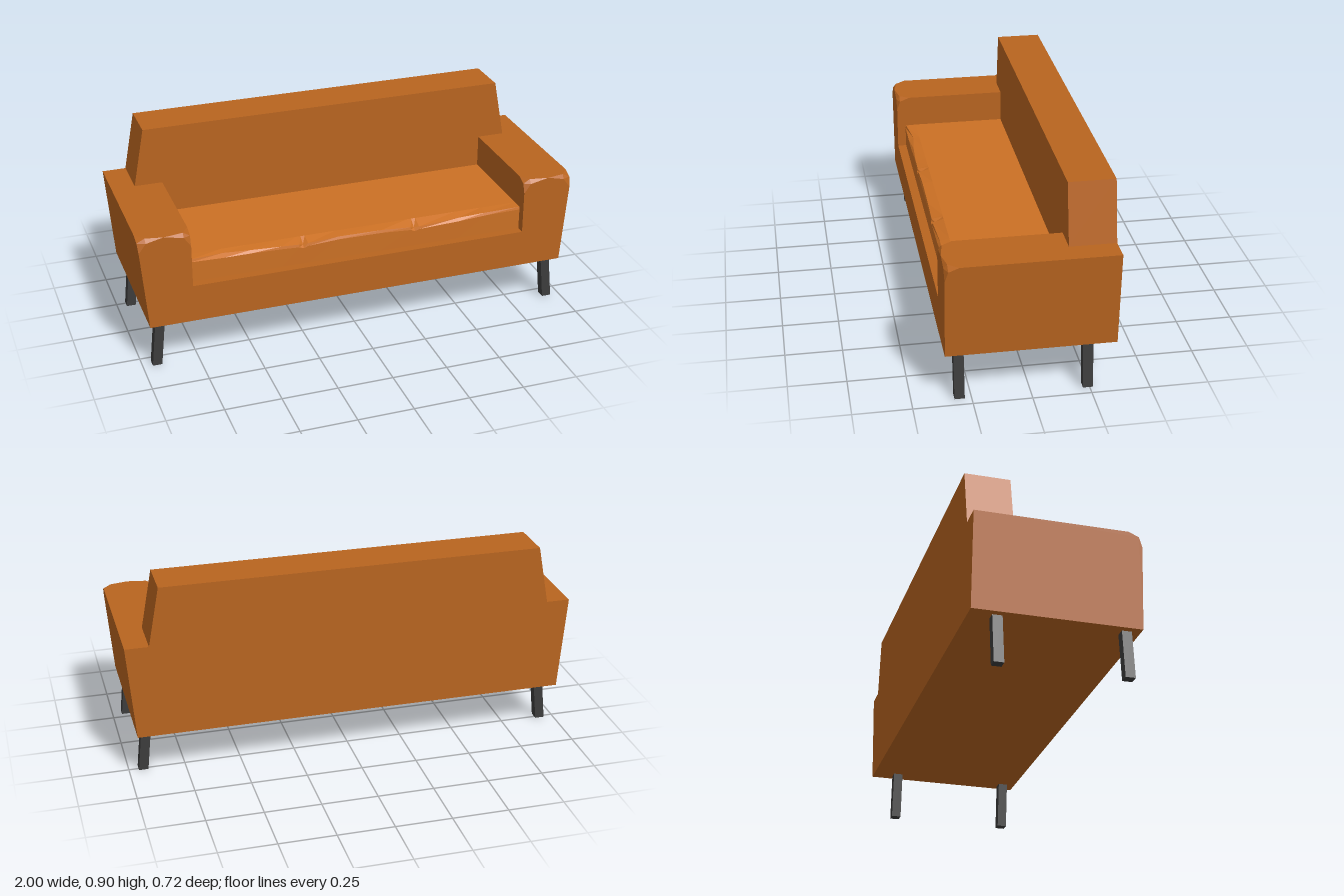
import * as THREE from 'three';
import { ConvexGeometry } from 'three/addons/geometries/ConvexGeometry.js';

const V = (x, y, z) => new THREE.Vector3(x, y, z);
const BOTTOM = 0.215, SEAT = 0.385, ARM_TOP = 0.64, INNER = 0.77;
const FRONT = 0.36, BACK = -0.36, BACK_FRONT = -0.16;

// The outer arm faces lean outwards as they rise
const outerX = (y) => 0.965 + 0.035 * (y - BOTTOM) / (ARM_TOP - BOTTOM);

// Arm block with both upper front corners faceted
function armGeometry(side) {
  const points = [];
  const middle = 0.885;
  for (const edge of [outerX, () => INNER]) {
    const inward = edge === outerX ? -0.036 : 0.03;
    points.push(
      V(edge(BOTTOM), BOTTOM, FRONT), V(edge(BOTTOM), BOTTOM, BACK), V(edge(ARM_TOP), ARM_TOP, BACK),
      V(edge(0.578), 0.578, FRONT), V(edge(0.622), 0.622, 0.345), V(edge(ARM_TOP), ARM_TOP, 0.3),
      V(edge(0.622) + inward, 0.622, FRONT), V(edge(ARM_TOP) + inward, ARM_TOP, 0.345)
    );
  }
  points.push(V(middle, ARM_TOP, FRONT));
  points.forEach((p) => { p.x *= side; });
  return new ConvexGeometry(points);
}

// Backrest outline: narrow between the arms, overlapping their tops, tapering upwards
function backGeometry() {
  const half = [[INNER, SEAT], [INNER, ARM_TOP], [0.895, ARM_TOP], [0.845, 0.905]];
  const outline = [...half, ...half.map(([x, y]) => [-x, y]).reverse()];
  const shape = new THREE.Shape(outline.map(([x, y]) => new THREE.Vector2(x, y)));
  const geometry = new THREE.ExtrudeGeometry(shape, { depth: BACK_FRONT - BACK, bevelEnabled: false });
  return geometry.translate(0, 0, BACK);
}

// Soft seat cushion lofted across x; its front edge sags at the two seams
function cushionGeometry() {
  // x, front edge height, front edge z
  const stations = [
    [-0.77, 0.492, 0.318], [-0.62, 0.488, 0.298], [-0.5, 0.488, 0.312], [-0.36, 0.484, 0.318],
    [-0.28, 0.48, 0.318], [-0.26, 0.472, 0.306], [-0.24, 0.48, 0.318], [-0.1, 0.488, 0.316],
    [0.1, 0.486, 0.317], [0.24, 0.477, 0.318], [0.26, 0.468, 0.306], [0.28, 0.475, 0.318],
    [0.47, 0.482, 0.31], [0.6, 0.49, 0.316], [0.77, 0.493, 0.318]
  ];
  const position = [], index = [];
  stations.forEach(([x, y, z], i) => {
    const ring = [[SEAT, 0.32], [y - 0.012, 0.321], [y, z], [0.494, 0.27], [0.494, BACK_FRONT]];
    ring.forEach(([py, pz]) => position.push(x, py, pz));
    if (i === 0) return;
    const n = ring.length;
    for (let k = 0; k < n - 1; k++) {
      const a = (i - 1) * n + k, b = i * n + k;
      index.push(a, b, b + 1, a, b + 1, a + 1);
    }
  });
  const geometry = new THREE.BufferGeometry();
  geometry.setAttribute('position', new THREE.Float32BufferAttribute(position, 3));
  geometry.setIndex(index);
  const flat = geometry.toNonIndexed();
  flat.computeVertexNormals();
  return flat;
}

// Square leg sheared outwards towards the floor
function legGeometry(side) {
  const geometry = new THREE.BoxGeometry(0.042, BOTTOM, 0.043);
  const p = geometry.attributes.position;
  for (let i = 0; i < p.count; i++) {
    p.setX(i, p.getX(i) + (p.getY(i) > 0 ? 0.914 : 0.936) * side);
  }
  geometry.translate(0, BOTTOM / 2, 0);
  geometry.computeVertexNormals();
  return geometry;
}

export function createModel() {
  const sofa = new THREE.Group();
  sofa.name = 'sofa';
  const upholstery = new THREE.MeshStandardMaterial({ color: 0xb8641f, flatShading: true });
  const seatFabric = new THREE.MeshStandardMaterial({ color: 0xcb7024, flatShading: true, side: THREE.DoubleSide });
  const legPaint = new THREE.MeshStandardMaterial({ color: 0x3c3c3c, flatShading: true });

  const add = (name, geometry, material) => {
    const mesh = new THREE.Mesh(geometry, material);
    mesh.name = name;
    sofa.add(mesh);
    return mesh;
  };

  // Base between the arms
  const base = new THREE.BoxGeometry(INNER * 2, SEAT - BOTTOM, FRONT - BACK);
  add('base', base, upholstery).position.y = (SEAT + BOTTOM) / 2;

  add('backrest', backGeometry(), upholstery);
  add('seatCushion', cushionGeometry(), seatFabric);

  // Arms and legs, mirrored left and right
  for (const [label, side] of [['left', 1], ['right', -1]]) {
    add(label + 'Arm', armGeometry(side), upholstery);
    add(label + 'FrontLeg', legGeometry(side), legPaint).position.z = 0.3;
    add(label + 'BackLeg', legGeometry(side), legPaint).position.z = -0.243;
  }
  return sofa;
}
